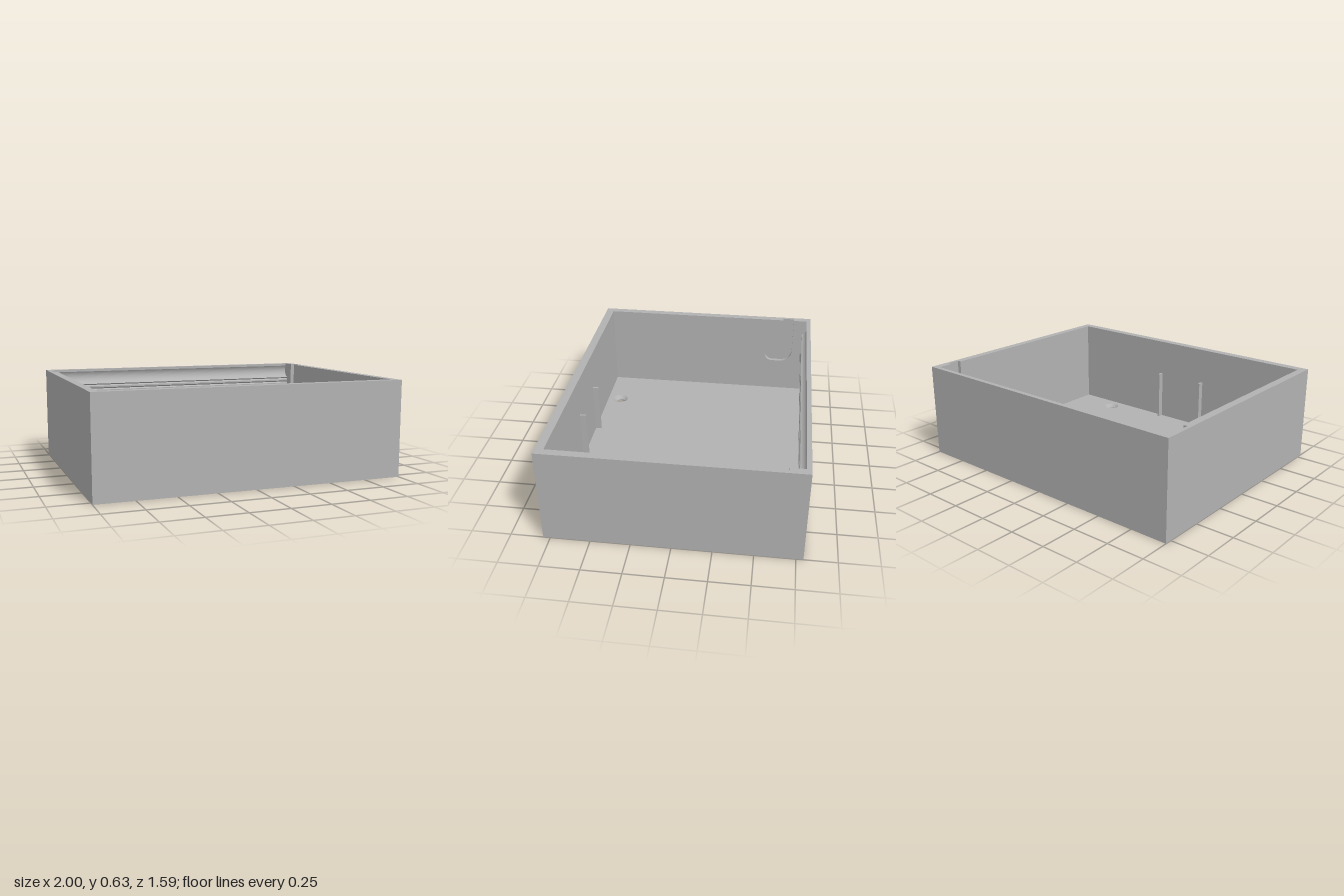
import * as THREE from 'three';

const W = 1, D = 0.795, H = 0.63;          // half width, half depth, height
const SLOT = 0.978, INNER = 0.95;          // slot bottom and inner face of the side walls
const FRONT = 0.74, BACK = -0.762;         // inner faces of front and back walls
const FLOOR = 0.035, LEDGE = 0.01;         // floor top, start of the countersinks
const HOLES = [[-0.617, 0.645], [0.617, 0.645]];

const polygon = (points) => new THREE.Shape(points.map(([x, y]) => new THREE.Vector2(x, y)));
const rect = (x0, y0, x1, y1) => polygon([[x0, y0], [x1, y0], [x1, y1], [x0, y1]]);
const extrude = (shape, depth) =>
  new THREE.ExtrudeGeometry(shape, { depth, bevelEnabled: false, curveSegments: 16 });

// Plan outline (x, -z) raised from y0 to y1
const raise = (shape, y0, y1) => extrude(shape, y1 - y0).rotateX(-Math.PI / 2).translate(0, y0, 0);
// Side profile (z, y) stretched from x0 to x1
const stretch = (shape, x0, x1) => extrude(shape, x1 - x0).rotateY(-Math.PI / 2).translate(x1, 0, 0);

export function createModel() {
  const group = new THREE.Group();
  const grey = new THREE.MeshStandardMaterial({ color: 0xb2b2b2, side: THREE.DoubleSide });
  grey.name = 'plain grey';
  const add = (name, geometry) => {
    const mesh = new THREE.Mesh(geometry, grey);
    mesh.name = name;
    group.add(mesh);
  };

  // Outer shell: rectangular ring
  const shell = rect(-W, -D, W, D);
  shell.holes.push(rect(-SLOT, -FRONT, SLOT, 0.788));
  add('outerShell', raise(shell, 0, H));

  // Floor in two layers so that the screw holes widen upwards
  const floorLayer = (radius, hx, back) => {
    const shape = rect(-hx, -FRONT, hx, back);
    for (const [x, z] of HOLES) {
      shape.holes.push(new THREE.Path().absarc(x, -z, radius, 0, Math.PI * 2, true));
    }
    return shape;
  };
  add('floorBottom', raise(floorLayer(0.03, INNER, -BACK), 0, LEDGE));
  add('floorTop', raise(floorLayer(0.055, INNER, -BACK), LEDGE, FLOOR));
  for (const [x, z] of HOLES) {
    const cone = new THREE.CylinderGeometry(0.055, 0.03, FLOOR - LEDGE, 32, 1, true);
    add('countersink', cone.translate(x, (FLOOR + LEDGE) / 2, z));
  }

  // Side wall linings with a J-shaped hanging slot open at the top
  const lining = new THREE.Shape();
  lining.moveTo(-0.788, 0);
  lining.lineTo(FRONT, 0);
  lining.lineTo(FRONT, H);
  lining.lineTo(-0.59, H);
  lining.lineTo(-0.59, 0.40);
  lining.lineTo(-0.52, 0.40);
  lining.absarc(-0.52, 0.34, 0.06, Math.PI / 2, -Math.PI / 2, true);
  lining.lineTo(-0.58, 0.28);
  lining.absarc(-0.58, 0.37, 0.09, -Math.PI / 2, -Math.PI, true);
  lining.lineTo(-0.67, H);
  lining.lineTo(-0.788, H);
  lining.closePath();
  add('leftSlottedWall', stretch(lining, INNER, SLOT));
  add('rightSlottedWall', stretch(lining, -SLOT, -INNER));

  // Back wall lining: flat wall, ridged band, rounded groove, thin lip
  const back = new THREE.Shape();
  back.moveTo(-0.788, 0);
  back.lineTo(BACK, 0);
  back.lineTo(BACK, 0.35);
  const ridges = 6, bottom = 0.35, pitch = 0.17 / ridges;
  for (let i = 0; i < ridges; i++) {
    const y = bottom + i * pitch;
    back.lineTo(-0.735, y);
    back.lineTo(-0.735, y + pitch * 0.4);
    back.lineTo(-0.745, y + pitch * 0.7);
  }
  back.lineTo(-0.735, 0.52);
  back.bezierCurveTo(-0.768, 0.53, -0.79, 0.575, -0.765, 0.612);
  back.lineTo(-0.765, H);
  back.lineTo(-0.788, H);
  back.closePath();
  add('backWallLining', stretch(back, -INNER, INNER));

  // Two slim guide ribs on the inside of the front wall
  for (const x of [-0.186, 0.183]) {
    const rib = new THREE.BoxGeometry(0.014, 0.38 - FLOOR, 0.04);
    add('guideRib', rib.translate(x, (0.38 + FLOOR) / 2, FRONT - 0.02));
  }
  return group;
}
